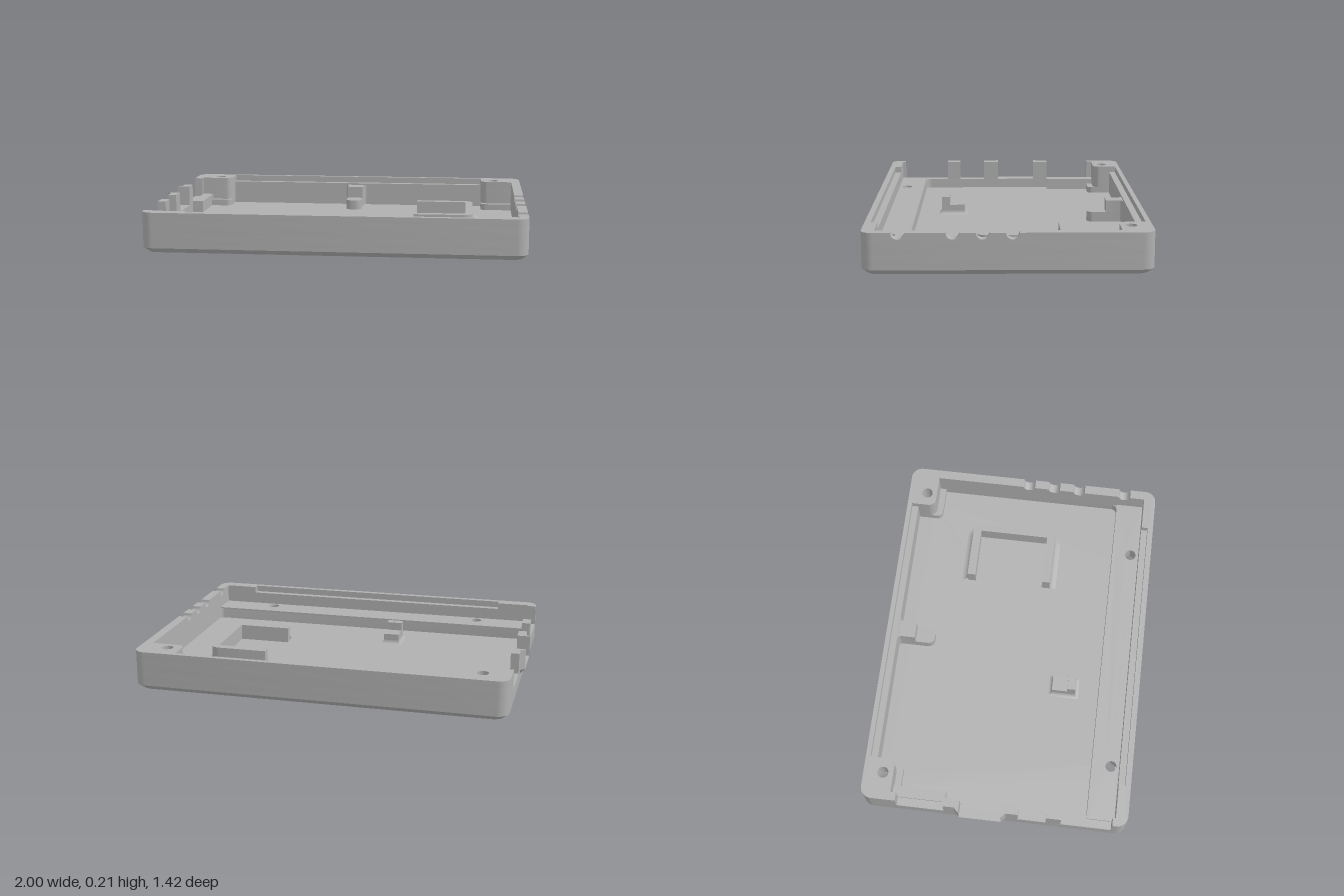
import * as THREE from 'three';
import { toCreasedNormals } from 'three/addons/utils/BufferGeometryUtils.js';
import { ConvexGeometry } from 'three/addons/geometries/ConvexGeometry.js';

const FLOOR = 0.045, SILL = 0.1, LEDGE = 0.175, RIM = 0.21, CHAMFER = 0.025;
const X0 = -0.975, X1 = 1, Z0 = -0.715, Z1 = 0.71;
const backScrews = [[-0.83, -0.61], [0.845, -0.61]];
const frontScrews = [[-0.63, 0.6], [0.635, 0.6]];

// Plan outline from [x, z, cornerRadius] points
function outline(pts, Type = THREE.Shape) {
  const s = new Type();
  const v = pts.map(([x, z]) => new THREE.Vector2(x, -z));
  pts.forEach((p, i) => {
    const c = v[i], r = p[2] || 0;
    const toward = (q, d) => c.clone().add(q.clone().sub(c).setLength(d));
    const prev = v[(i + v.length - 1) % v.length], next = v[(i + 1) % v.length];
    const a = r ? toward(prev, r) : c;
    if (i === 0) s.moveTo(a.x, a.y); else s.lineTo(a.x, a.y);
    if (!r) return;
    const b = toward(next, r), k1 = toward(prev, r * 0.4477), k2 = toward(next, r * 0.4477);
    s.bezierCurveTo(k1.x, k1.y, k2.x, k2.y, b.x, b.y);
  });
  s.closePath();
  return s;
}

const rect = (x0, x1, z0, z1, r = 0) => [[x0, z0, r], [x1, z0, r], [x1, z1, r], [x0, z1, r]];

// Round (24 sides) or hexagonal (6 sides) hole
function hole([x, z], r, sides) {
  const pts = [];
  for (let i = 0; i < sides; i++) {
    const a = (i / sides) * Math.PI * 2;
    pts.push([x + r * Math.cos(a), z + r * Math.sin(a)]);
  }
  return outline(pts, THREE.Path);
}
const nuts = (list) => list.map((p) => hole(p, 0.048, 6));
const bores = (list) => list.map((p) => hole(p, 0.03, 24));

// Plan outline raised from y0 to y1
function slab(pts, y0, y1, holes = []) {
  const s = outline(pts);
  s.holes.push(...holes);
  const g = new THREE.ExtrudeGeometry(s, { depth: y1 - y0, bevelEnabled: false, curveSegments: 8 });
  return g.rotateX(-Math.PI / 2).translate(0, y0, 0);
}

// Concave fillet skin at floor level along [x, z, outwardX, outwardZ] points
function fillet(path, r) {
  const steps = 6, pos = [], index = [];
  for (let j = 0; j <= steps; j++) {
    const a = (j / steps) * Math.PI / 2;
    const d = r * (1 - Math.sin(a)), y = FLOOR + r * (1 - Math.cos(a));
    for (const [x, z, nx, nz] of path) pos.push(x + nx * d, y, z + nz * d);
  }
  const n = path.length;
  for (let j = 0; j < steps; j++) {
    for (let i = 0; i < n - 1; i++) {
      const a = j * n + i, b = a + 1, c = a + n, d = c + 1;
      index.push(a, c, b, b, c, d);
    }
  }
  const g = new THREE.BufferGeometry();
  g.setAttribute('position', new THREE.Float32BufferAttribute(pos, 3));
  g.setIndex(index);
  return g;
}

export function createModel() {
  const model = new THREE.Group();
  model.name = 'enclosureTray';
  const grey = new THREE.MeshStandardMaterial({ color: 0xb0b0b0, side: THREE.DoubleSide });
  grey.name = 'grey plastic';

  const add = (name, geometry) => {
    const mesh = new THREE.Mesh(toCreasedNormals(geometry, 0.5), grey);
    mesh.name = name;
    model.add(mesh);
  };

  const outer = rect(X0, X1, Z0, Z1, 0.06);
  const screws = [...backScrews, ...frontScrews];

  // Chamfered underside: pull the lowest outer vertices inward
  const foot = slab(outer, 0, CHAMFER, nuts(screws));
  const p = foot.attributes.position;
  const cx = (X0 + X1) / 2, cz = (Z0 + Z1) / 2, hx = (X1 - X0) / 2, hz = (Z1 - Z0) / 2;
  for (let i = 0; i < p.count; i++) {
    const dx = p.getX(i) - cx, dz = p.getZ(i) - cz;
    const onEdge = Math.min(hx - Math.abs(dx), hz - Math.abs(dz)) < 0.03;
    if (p.getY(i) < 0.001 && onEdge) {
      p.setX(i, cx + dx * (1 - CHAMFER / hx));
      p.setZ(i, cz + dz * (1 - CHAMFER / hz));
    }
  }
  add('chamferedFoot', foot);
  add('floor', slab(outer, CHAMFER, FLOOR, nuts(screws)));

  // Lower walls, with corner blocks and the solid front shelf
  const cavity = outline([[-0.93, -0.555], [-0.75, -0.555, 0.04], [-0.75, -0.655], [0.77, -0.655],
    [0.77, -0.555, 0.04], [0.95, -0.555], [0.95, 0.495, 0.03], [-0.93, 0.495, 0.03]], THREE.Path);
  add('lowerWalls', slab(outer, FLOOR, SILL, [cavity, ...nuts(screws)]));
  add('frontShelf', slab(rect(-0.93, 0.95, 0.495, 0.645), SILL, 0.11, bores(frontScrews)));

  // Middle walls, open on the port side
  add('middleWalls', slab([[X0, 0.63], [X0, Z1, 0.06], [X1, Z1, 0.06], [X1, Z0, 0.06], [X0, Z0, 0.06],
    [X0, -0.525], [-0.93, -0.525], [-0.93, -0.555], [-0.75, -0.555, 0.04], [-0.75, -0.655],
    [0.77, -0.655], [0.77, -0.555, 0.04], [0.95, -0.555], [0.95, 0.645], [-0.93, 0.645], [-0.93, 0.63]],
  SILL, LEDGE, bores(backScrews)));

  // Rim, with recessed lips at front and back
  add('backRim', slab([[X0, -0.525], [-0.93, -0.525], [-0.93, -0.555], [-0.75, -0.555, 0.04], [-0.75, -0.69],
    [0.77, -0.69], [0.77, -0.555, 0.04], [X1, -0.555], [X1, Z0, 0.06], [X0, Z0, 0.06]],
  LEDGE, RIM, bores(backScrews)));
  add('frontRim', slab([[X0, 0.63], [X0, Z1, 0.06], [X1, Z1, 0.06], [X1, 0.645], [0.77, 0.645], [0.77, 0.68],
    [-0.75, 0.68], [-0.75, 0.645], [-0.93, 0.645], [-0.93, 0.63]], LEDGE, RIM));

  // Side rim with half-round cable notches
  const side = new THREE.Shape();
  side.moveTo(-0.645, LEDGE);
  side.lineTo(0.555, LEDGE);
  side.lineTo(0.555, RIM);
  for (const z of [-0.025, 0.12, 0.265, 0.53]) {
    side.lineTo(-z + 0.033, RIM);
    side.absarc(-z, RIM, 0.033, 0, -Math.PI, true);
  }
  side.lineTo(-0.645, RIM);
  side.closePath();
  add('notchedSideRim', new THREE.ExtrudeGeometry(side, { depth: 0.05, bevelEnabled: false, curveSegments: 12 })
    .rotateY(Math.PI / 2).translate(0.95, 0, 0));

  // Posts between the port openings
  for (const [a, b] of [[-0.27, -0.185], [0.04, 0.13], [0.28, 0.36]]) {
    add('portPost', slab(rect(X0, -0.93, a, b), SILL, RIM));
  }

  // Protruding surround of the middle port
  add('portLip', new ConvexGeometry([[X0, 0.075, 0.04], [X0, 0.075, -0.185], [-1, SILL, 0.04],
    [-1, SILL, -0.185], [X0, SILL, 0.065], [X0, SILL, -0.21]].map((v) => new THREE.Vector3(...v))));
  add('portCheek', slab([[X0, 0.04], [-1, 0.04], [X0, 0.065]], SILL, RIM));
  add('portCheek', slab([[X0, -0.185], [-1, -0.185], [X0, -0.21]], SILL, RIM));

  // Board rests
  add('sideLedge', slab(rect(-0.93, -0.87, -0.555, -0.27), FLOOR, 0.11));
  add('cornerPad', slab([[-0.93, -0.6], [-0.75, -0.6], [-0.75, -0.52, 0.03], [-0.93, -0.52]], FLOOR, 0.08));
  add('cornerPad', slab([[0.95, -0.6], [0.77, -0.6], [0.77, -0.52, 0.03], [0.95, -0.52]], FLOOR, 0.08));

  // Stepped rest at the middle of the back wall
  const flare = [[0.08, -0.655], [0.08, -0.66], [-0.06, -0.66], [-0.06, -0.655], [-0.035, -0.655, 0.02]];
  add('backRest', slab([...flare, [-0.035, -0.455, 0.035], [0.055, -0.455, 0.035], [0.055, -0.655, 0.02]], FLOOR, 0.1));
  add('backRestStep', slab([...flare, [-0.035, -0.56], [0.055, -0.56], [0.055, -0.655, 0.02]], 0.1, 0.165));

  // U-shaped bracket with a filleted outer base
  add('bracket', slab([[0.4, -0.32], [0.72, -0.32, 0.05], [0.72, 0.155, 0.05], [0.4, 0.155], [0.4, 0.11],
    [0.68, 0.11], [0.68, -0.275], [0.4, -0.275]], FLOOR, 0.13));
  const path = [[0.4, -0.32, 0, -1]];
  for (const [z, start] of [[-0.27, -Math.PI / 2], [0.105, 0]]) {
    for (let i = 0; i <= 6; i++) {
      const a = start + (i / 6) * Math.PI / 2, c = Math.cos(a), s = Math.sin(a);
      path.push([0.67 + 0.05 * c, z + 0.05 * s, c, s]);
    }
  }
  path.push([0.4, 0.155, 0, 1]);
  add('bracketFillet', fillet(path, 0.035));

  // Small stepped stop on a flared base
  add('stop', slab(rect(-0.23, -0.145, 0.235, 0.365), FLOOR, 0.1));
  add('stopStep', slab(rect(-0.23, -0.145, 0.32, 0.365), 0.1, 0.145));
  add('stopFillet', fillet([[-0.23, 0.235, -1, -1], [-0.145, 0.235, 1, -1], [-0.145, 0.365, 1, 1],
    [-0.23, 0.365, -1, 1], [-0.23, 0.235, -1, -1]], 0.02));

  return model;
}
